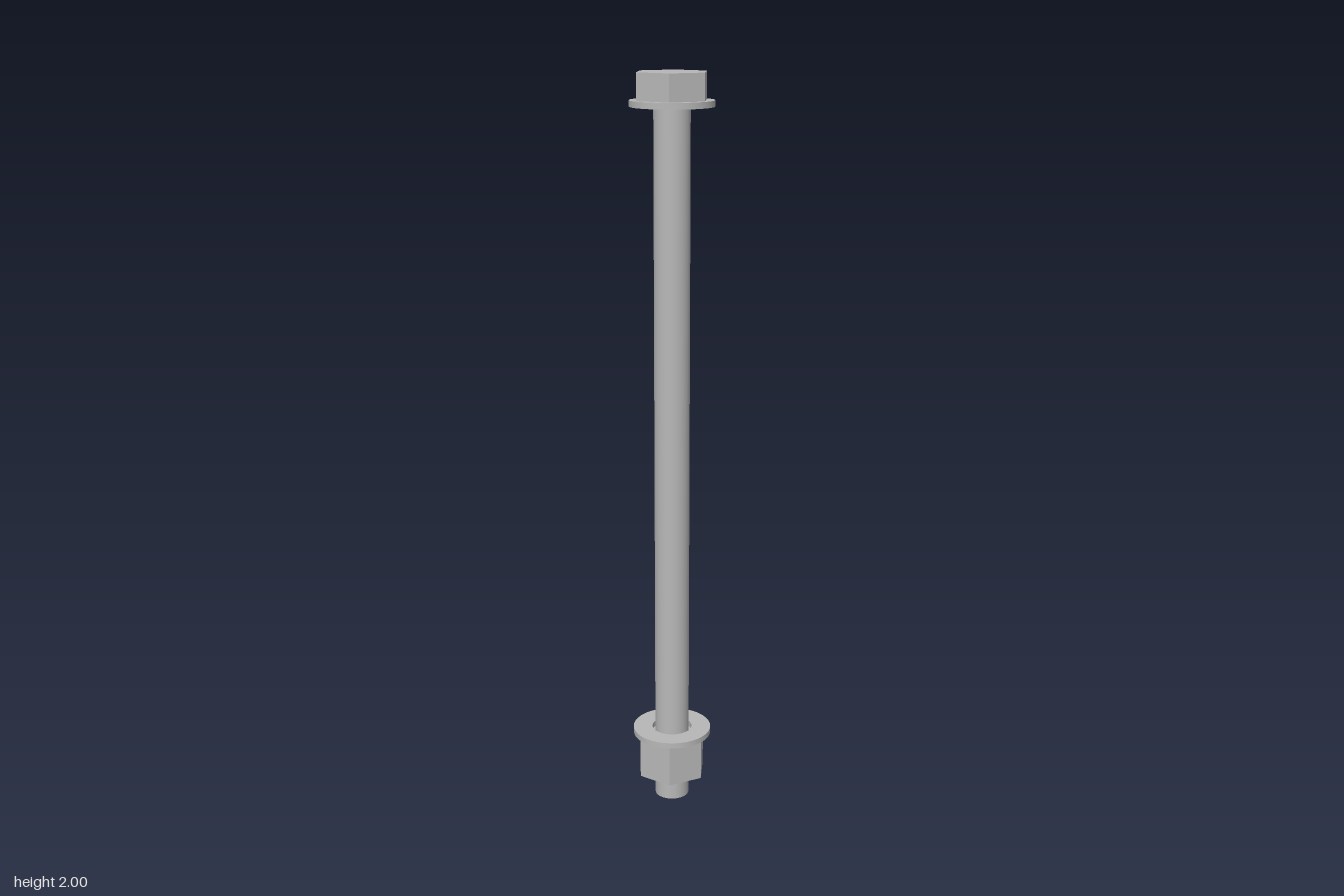
import * as THREE from 'three';
import { toCreasedNormals } from 'three/addons/utils/BufferGeometryUtils.js';

const SHAFT_R = 0.047;
const HEX_R = 0.098;

export function createModel() {
  const model = new THREE.Group();
  model.name = 'boltAssembly';
  const steel = new THREE.MeshStandardMaterial({ color: 0xb8b8b8 });
  steel.name = 'steel grey';

  const add = (name, geometry, y) => {
    const mesh = new THREE.Mesh(geometry, steel);
    mesh.name = name;
    mesh.position.y = y;
    model.add(mesh);
  };

  // Upright plate with a round hole, its base at y = 0
  const ring = (outline, holeR, height) => {
    const hole = new THREE.Path();
    hole.absarc(0, 0, holeR, 0, Math.PI * 2, true);
    outline.holes.push(hole);
    const geo = new THREE.ExtrudeGeometry(outline, { depth: height, bevelEnabled: false, curveSegments: 24 });
    geo.rotateX(-Math.PI / 2);
    return toCreasedNormals(geo, 0.5);
  };

  const washer = () => {
    const disc = new THREE.Shape();
    disc.absarc(0, 0, 0.108, 0, Math.PI * 2, false);
    return ring(disc, 0.055, 0.016);
  };

  // Hexagon with corners towards front and back
  const hexagon = () => new THREE.Shape(Array.from({ length: 6 }, (_, i) => {
    const a = Math.PI / 2 + i * Math.PI / 3;
    return new THREE.Vector2(Math.cos(a) * HEX_R, Math.sin(a) * HEX_R);
  }));

  // Shaft runs from the tip up to the underside of the head
  add('shaft', new THREE.CylinderGeometry(SHAFT_R, SHAFT_R, 1.931, 48), 1.931 / 2);

  // Head and its washer
  const head = new THREE.CylinderGeometry(HEX_R, HEX_R, 0.069, 6);
  add('hexHead', toCreasedNormals(head, 0.5), 1.9655);
  add('headWasher', washer(), 1.915);

  // Nut and its washer
  add('nutWasher', washer(), 0.19);
  add('hexNut', ring(hexagon(), SHAFT_R, 0.12), 0.07);

  return model;
}
